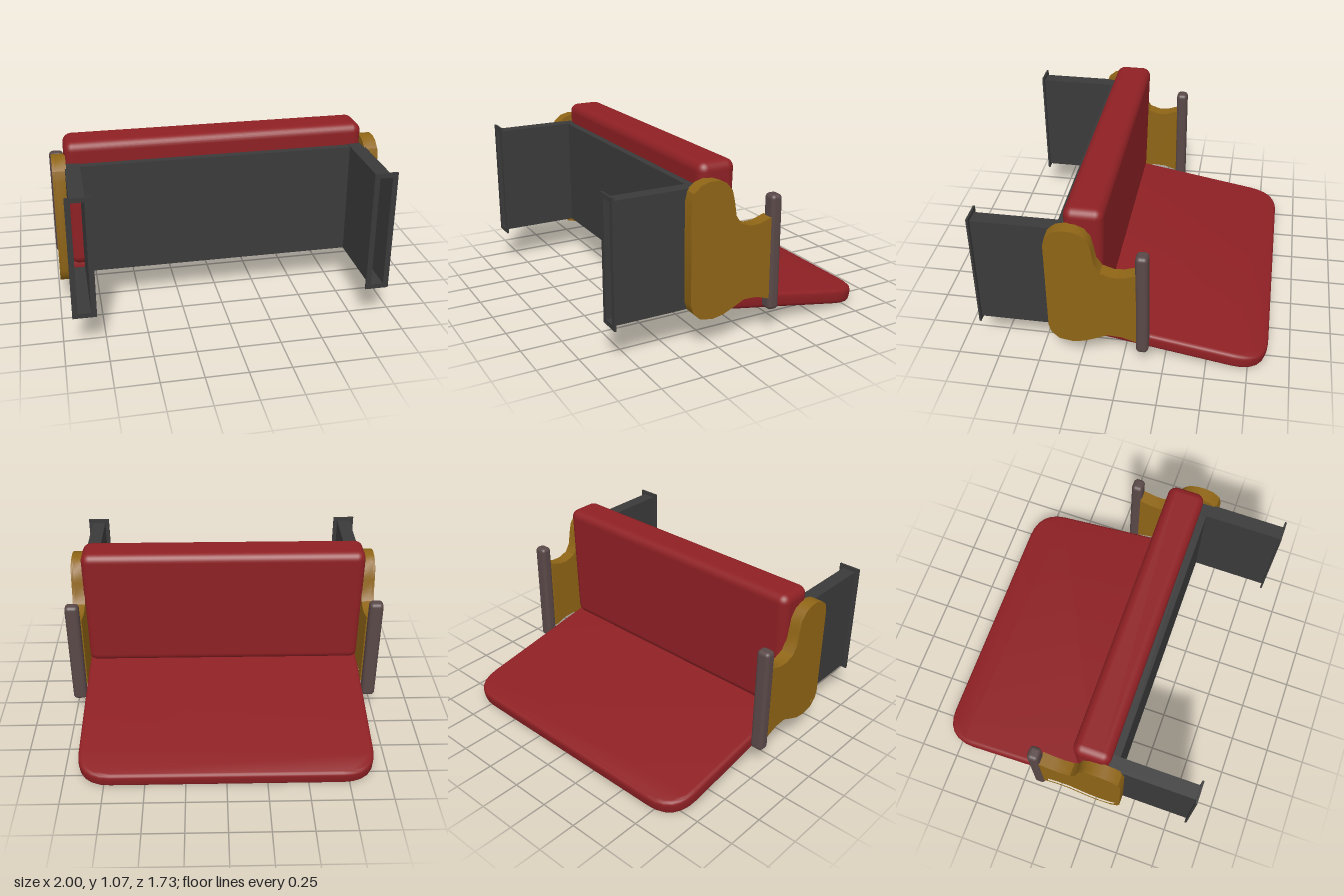
import * as THREE from 'three';
import { toCreasedNormals } from 'three/addons/utils/BufferGeometryUtils.js';
import { RoundedBoxGeometry } from 'three/addons/geometries/RoundedBoxGeometry.js';

const mat = (color) => new THREE.MeshStandardMaterial({ color });
const red = mat(0x8e2024), steel = mat(0x3a3a3a), amber = mat(0x8f6516), wood = mat(0x5a4848);

// Side outline of the armrest as [z, y]
const ARM = [
  [0.425, 0.30], [0.425, 0.886], [0.41, 0.946], [0.364, 0.984], [0.31, 0.998], [0.255, 0.995],
  [0.205, 0.975], [0.168, 0.93], [0.152, 0.86], [0.14, 0.78], [0.107, 0.727], [0.04, 0.704],
  [-0.02, 0.707], [-0.095, 0.732], [-0.095, 0.233], [-0.01, 0.262], [0.075, 0.266], [0.145, 0.233],
  [0.215, 0.203], [0.285, 0.191], [0.364, 0.205], [0.41, 0.25],
].map(([z, y]) => new THREE.Vector2(-z, y));

// Moves every corner of a clockwise outline inwards by d
function inset(pts, d) {
  return pts.map((p, i) => {
    const a = pts[(i + pts.length - 1) % pts.length], b = pts[(i + 1) % pts.length];
    const e = p.clone().sub(a).normalize(), f = b.clone().sub(p).normalize();
    const n = new THREE.Vector2(e.y + f.y, -e.x - f.x).normalize();
    return p.clone().addScaledVector(n, d / (n.x * e.y - n.y * e.x));
  });
}

function rect(x0, x1, y0, y1) {
  return [[x0, y0], [x1, y0], [x1, y1], [x0, y1]].map(([x, y]) => new THREE.Vector2(x, y));
}

function extrude(outline, depth, hole) {
  const s = new THREE.Shape(outline);
  if (hole) s.holes.push(new THREE.Path(hole));
  return toCreasedNormals(new THREE.ExtrudeGeometry(s, { depth, bevelEnabled: false }), 0.6);
}

export function createModel() {
  const root = new THREE.Group();
  const add = (name, geo, material, x = 0, y = 0, z = 0) => {
    const m = new THREE.Mesh(geo, material);
    m.name = name;
    m.position.set(x, y, z);
    root.add(m);
    return m;
  };

  // Backrest cushion, thinner towards the bottom
  const back = new RoundedBoxGeometry(1.83, 0.82, 0.235, 4, 0.055);
  const p = back.attributes.position;
  for (let i = 0; i < p.count; i++) p.setZ(i, p.getZ(i) * (0.87 + 0.13 * (p.getY(i) / 0.41)));
  back.computeBoundingSphere();
  add('backCushion', back, red, 0, 0.67, 0.213);

  // Sloping seat cushion with rounded far corners
  const b = 0.025, w = 0.915 - b, L = 1.14 - b, r = 0.18;
  const s = new THREE.Shape();
  s.moveTo(-w, b);
  s.lineTo(w, b);
  s.lineTo(w, L - r);
  s.quadraticCurveTo(w, L, w - r, L);
  s.lineTo(r - w, L);
  s.quadraticCurveTo(-w, L, -w, L - r);
  s.closePath();
  const seatGeo = new THREE.ExtrudeGeometry(s, {
    depth: 0.094 - 2 * b, bevelSize: b, bevelThickness: b, bevelSegments: 4, curveSegments: 6,
  });
  seatGeo.translate(0, 0, b);
  const seat = add('seatCushion', toCreasedNormals(seatGeo, 0.7), red, 0, 0.203, 0.27);
  seat.rotation.x = -Math.PI / 2 - THREE.MathUtils.degToRad(10);

  // Plate joining the two brackets
  add('framePlate', new THREE.BoxGeometry(1.66, 0.70, 0.05), steel, 0, 0.6, 0.345);

  for (const side of [1, -1]) {
    const label = side > 0 ? 'left' : 'right';
    const cx = side * 0.872;

    // Hollow wall bracket and its mounting flange
    const hole = rect(-0.038, 0.038, -0.346, 0.346);
    add(label + 'Bracket', extrude(rect(-0.044, 0.044, -0.352, 0.352), 0.54, hole), steel, cx, 0.602, 0.32);
    add(label + 'Flange', extrude(rect(-0.07, 0.07, -0.375, 0.375), 0.012, hole), steel, cx, 0.604, 0.856);

    // Armrest body with a raised rim on the outside
    const body = extrude(ARM, 0.067).rotateY(Math.PI / 2);
    add(label + 'Arm', body, amber, side > 0 ? 0.908 : -0.975);
    const rim = extrude(ARM, 0.015, inset(ARM, 0.032)).rotateY(Math.PI / 2);
    add(label + 'ArmRim', rim, amber, side > 0 ? 0.975 : -0.99);

    // Upright grip post at the end of the arm
    add(label + 'GripPost', new RoundedBoxGeometry(0.088, 0.705, 0.074, 4, 0.026), wood, side * 0.956, 0.508, -0.128);
  }
  return root;
}
